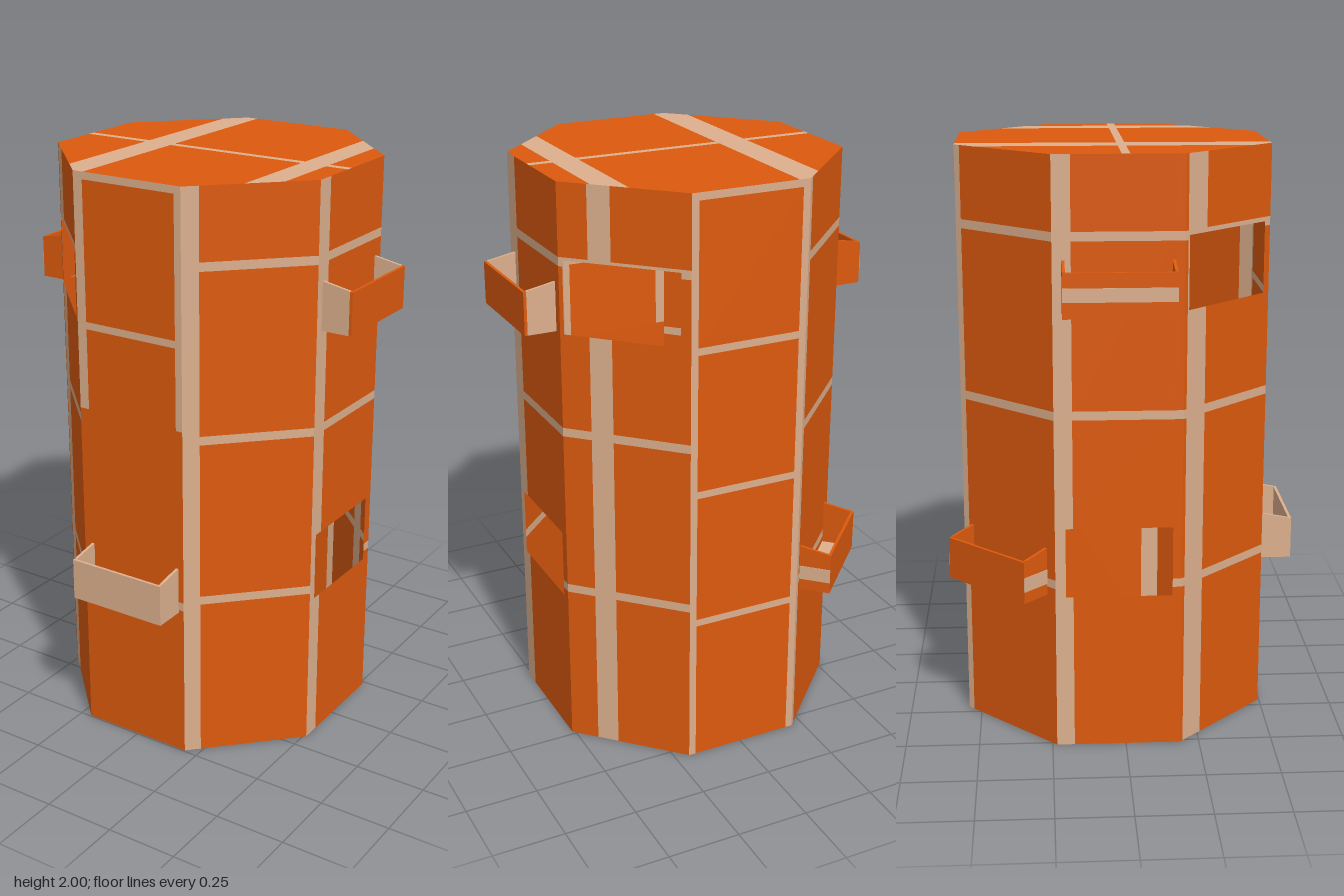
import * as THREE from 'three';

const flat = (name, color) => {
  const m = new THREE.MeshStandardMaterial({ color, side: THREE.DoubleSide });
  m.name = name;
  return m;
};

// Octagon corners (x, z), left to right as seen from outside
const CORNERS = [[-0.21, 0.495], [0.2, 0.495], [0.51, 0.185], [0.51, -0.235],
  [0.2, -0.545], [-0.21, -0.545], [-0.515, -0.235], [-0.515, 0.185]];
const HEIGHT = 2;

// Horizontal seams shared by most walls
const seams = [[0.57, 0.6], [1.15, 1.18], [1.73, 1.76]].map(([a, b]) => [0, 1, a, b]);
const backSeams = [[0.51, 0.535], [0.985, 1.01], [1.48, 1.505], [1.975, 2]].map(([a, b]) => [0, 1, a, b]);

// Per wall: stripes and hole as [u0, u1, y0, y1] in metres (u = 1 runs past the edge and is clipped)
const WALLS = [
  { name: 'front', stripes: [[0, 0.035, 1.2, 2], [0.385, 1, 1.2, 2], [0, 1, 1.975, 2], [0, 1, 1.48, 1.505], [0, 1, 0.55, 0.58]],
    basket: { y: 0.54, u: 0.21, plate: 'tan', sides: 'tan' } },
  { name: 'frontLeft', stripes: [[0, 0.057, 0, 2], ...seams] },
  { name: 'left', stripes: [[0, 0.065, 0, 2], ...seams], hole: [0.03, 0.385, 0.54, 0.78],
    basket: { y: 1.505, u: 0.21, plate: 'orange', sides: 'tan' } },
  { name: 'backLeft', stripes: [[0.1, 0.176, 0, 2], ...seams], hole: [0.014, 0.405, 1.505, 1.75] },
  { name: 'back', stripes: [[0, 0.025, 0, 2], [0.385, 1, 0, 2], ...backSeams] },
  { name: 'backRight', stripes: [[0, 0.025, 0, 2], ...seams],
    basket: { y: 0.54, u: 0.217, plate: 'orange', sides: 'orange', sideBand: true } },
  { name: 'right', stripes: [[0, 0.06, 0, 2], ...seams], hole: [0.035, 0.39, 0.54, 0.78],
    basket: { y: 1.505, u: 0.21, plate: 'orange', sides: 'orange', plateBand: true } },
  { name: 'frontRight', stripes: [[0.014, 0.106, 0, 2], ...seams], hole: [0.021, 0.407, 1.505, 1.745] },
];

// Flat quads (four corners each, counter-clockwise) as one geometry
function quadGeometry(quads) {
  const pos = [];
  for (const [a, b, c, d] of quads) pos.push(...a, ...b, ...c, ...a, ...c, ...d);
  const g = new THREE.BufferGeometry();
  g.setAttribute('position', new THREE.Float32BufferAttribute(pos, 3));
  g.computeVertexNormals();
  return g;
}

const sortedUnique = (list) => [...new Set(list)].sort((a, b) => a - b);
const inside = ([u0, u1, y0, y1], u, y) => u > u0 && u < u1 && y > y0 && y < y1;

export function createModel() {
  const mats = { orange: flat('burnt orange', 0xdd5a0e), tan: flat('pale tan', 0xddb08e) };
  const model = new THREE.Group();
  model.name = 'tower';

  const add = (parent, name, geometry, colour, x = 0, y = 0, z = 0) => {
    const mesh = new THREE.Mesh(geometry, mats[colour]);
    mesh.name = name;
    mesh.position.set(x, y, z);
    parent.add(mesh);
    return mesh;
  };

  // Wall cut into cells: orange field, tan stripes, open window
  function buildWall(group, spec, length) {
    const { stripes, hole } = spec;
    const rects = hole ? [...stripes, hole] : stripes;
    const us = sortedUnique([0, length, ...rects.flatMap((r) => [r[0], Math.min(r[1], length)])]);
    const ys = sortedUnique([0, HEIGHT, ...rects.flatMap((r) => [r[2], r[3]])]);
    const cells = { orange: [], tan: [] };
    for (let i = 0; i < us.length - 1; i++) {
      for (let j = 0; j < ys.length - 1; j++) {
        const [u0, u1, y0, y1] = [us[i], us[i + 1], ys[j], ys[j + 1]];
        const u = (u0 + u1) / 2, y = (y0 + y1) / 2;
        if (hole && inside(hole, u, y)) continue;
        const colour = stripes.some((r) => inside(r, u, y)) ? 'tan' : 'orange';
        cells[colour].push([[u0, y0, 0], [u1, y0, 0], [u1, y1, 0], [u0, y1, 0]]);
      }
    }
    add(group, 'wallField', quadGeometry(cells.orange), 'orange');
    add(group, 'wallStripes', quadGeometry(cells.tan), 'tan');
  }

  // Open-topped basket: floor, outer plate and two sloping sides
  function buildBasket(parent, { y, u, plate, sides, plateBand, sideBand }) {
    const group = new THREE.Group();
    group.name = 'basket';
    group.position.set(u, y, 0);
    parent.add(group);
    const w = 0.36, depth = 0.108, t = 0.01;
    add(group, 'basketFloor', new THREE.BoxGeometry(w - 2 * t, t, depth - t), 'tan', 0, t / 2, (depth - t) / 2);
    add(group, 'basketPlate', new THREE.BoxGeometry(w, 0.145, t), plate, 0, 0.0725, depth - t / 2);
    if (plateBand) add(group, 'plateBand', new THREE.BoxGeometry(w, 0.045, 0.002), 'tan', 0, 0.075, depth + 0.001);
    const profile = new THREE.Shape([[0, 0], [depth - t, 0], [depth - t, 0.147], [0, 0.165]]
      .map(([x, h]) => new THREE.Vector2(x, h)));
    for (const s of [-1, 1]) {
      const side = new THREE.ExtrudeGeometry(profile, { depth: t, bevelEnabled: false });
      side.translate(0, 0, -t / 2).rotateY(-Math.PI / 2);
      add(group, 'basketSide', side, sides, s * (w - t) / 2);
      if (sideBand) add(group, 'sideBand', new THREE.BoxGeometry(0.002, 0.05, depth), 'tan', s * (w / 2 + 0.001), 0.065, depth / 2);
    }
  }

  CORNERS.forEach(([x, z], i) => {
    const [nx, nz] = CORNERS[(i + 1) % CORNERS.length];
    const group = new THREE.Group();
    group.name = WALLS[i].name + 'Wall';
    group.position.set(x, 0, z);
    group.rotation.y = Math.atan2(z - nz, nx - x);
    model.add(group);
    buildWall(group, WALLS[i], Math.hypot(nx - x, nz - z));
    if (WALLS[i].basket) buildBasket(group, WALLS[i].basket);
  });

  // Octagon half-depth limits at a given x
  const lerpEdge = (x, near, flatEdge) => {
    if (x < -0.21) return THREE.MathUtils.mapLinear(x, -0.515, -0.21, near, flatEdge);
    if (x > 0.2) return THREE.MathUtils.mapLinear(x, 0.2, 0.51, flatEdge, near);
    return flatEdge;
  };

  // Roof and base: slabs in x, crossed by one thin stripe
  const bands = [[-0.275, -0.17], [0.34, 0.43]];
  const xs = sortedUnique([-0.515, -0.21, 0.2, 0.51, ...bands.flat()]);
  const zRow = (x) => [lerpEdge(x, -0.235, -0.545), -0.015, 0.012, lerpEdge(x, 0.185, 0.495)];
  for (const [name, y] of [['roof', HEIGHT], ['base', 0]]) {
    const cells = { orange: [], tan: [] };
    for (let i = 0; i < xs.length - 1; i++) {
      const [x0, x1] = [xs[i], xs[i + 1]];
      const a = zRow(x0), b = zRow(x1), mid = (x0 + x1) / 2;
      for (let k = 0; k < 3; k++) {
        const tan = k === 1 || bands.some(([p, q]) => mid > p && mid < q);
        const quad = [[x0, y, a[k]], [x0, y, a[k + 1]], [x1, y, b[k + 1]], [x1, y, b[k]]];
        cells[tan ? 'tan' : 'orange'].push(y ? quad : quad.reverse());
      }
    }
    add(model, name + 'Field', quadGeometry(cells.orange), 'orange');
    add(model, name + 'Stripes', quadGeometry(cells.tan), 'tan');
  }
  return model;
}
